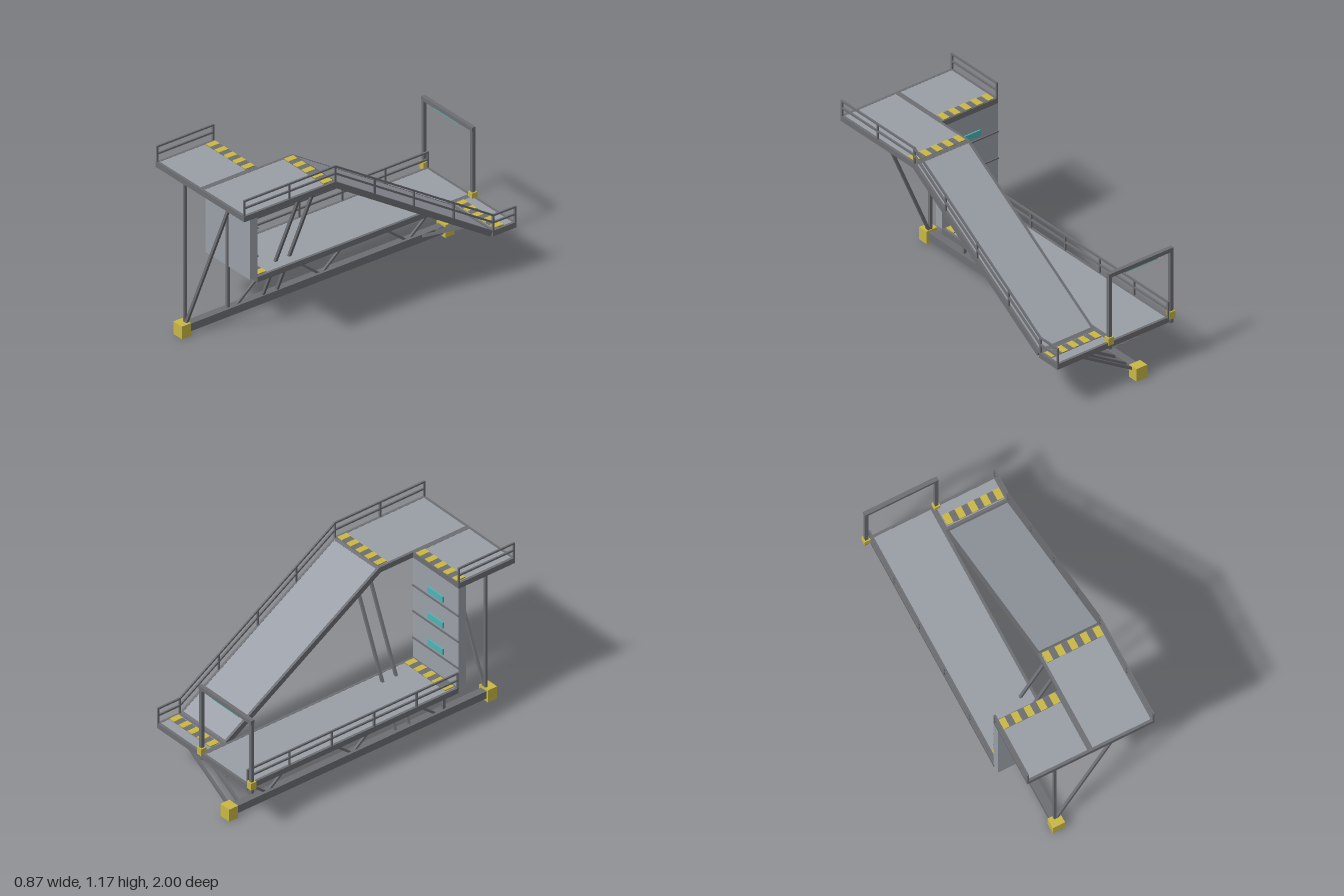
import * as THREE from 'three';

const mat = (name, color) => {
  const m = new THREE.MeshStandardMaterial({ color });
  m.name = name;
  return m;
};

export function createModel() {
  const steel = mat('frame steel', 0x6e6f74);
  const plate = mat('light plate', 0x9ba0a8);
  const yellow = mat('safety yellow', 0xcab945);
  const teal = mat('teal light', 0x4fb5b5);

  const model = new THREE.Group();
  model.name = 'rampPlatform';

  // Box given by its minimum and maximum corners
  function box(parent, name, material, x0, x1, y0, y1, z0, z1) {
    const mesh = new THREE.Mesh(new THREE.BoxGeometry(x1 - x0, y1 - y0, z1 - z0), material);
    mesh.position.set((x0 + x1) / 2, (y0 + y1) / 2, (z0 + z1) / 2);
    mesh.name = name;
    parent.add(mesh);
    return mesh;
  }

  // Square bar running from point a to point b
  function bar(parent, name, a, b, size) {
    const from = new THREE.Vector3(...a), to = new THREE.Vector3(...b);
    const mesh = new THREE.Mesh(new THREE.BoxGeometry(size, size, from.distanceTo(to)), steel);
    mesh.position.copy(from).add(to).multiplyScalar(0.5);
    mesh.lookAt(to);
    mesh.name = name;
    parent.add(mesh);
  }

  // Framed deck: top surface at y = 0, running from z = 0 to z = length
  function deck(name, x0, x1, length, joists) {
    const g = new THREE.Group();
    g.name = name;
    const w = 0.017, h = 0.036;
    box(g, 'sideBeam', steel, x0, x0 + w, -h, 0, 0, length);
    box(g, 'sideBeam', steel, x1 - w, x1, -h, 0, 0, length);
    box(g, 'endBeam', steel, x0 + w, x1 - w, -h, 0, 0, w);
    box(g, 'endBeam', steel, x0 + w, x1 - w, -h, 0, length - w, length);
    box(g, 'deckPlate', plate, x0 + w, x1 - w, -0.012, -0.001, w, length - w);
    for (let i = 0; i < joists; i++) {
      const z = (length * (i + 0.5)) / joists;
      box(g, 'joist', steel, x0 + w, x1 - w, -0.034, -0.012, z - 0.01, z + 0.01);
    }
    model.add(g);
    return g;
  }

  // Decks and ramp
  const L0 = -0.395, L1 = 0.02, R0 = 0.02, R1 = 0.431;
  const low = 0.341, high = 1.067;
  deck('lowerDeck', L0, L1, 1.57, 5).position.set(0, low, -0.99);
  deck('lowerLanding', R0, R1, 0.17, 1).position.set(0, low, -0.99);
  deck('upperLeftDeck', L0, L1, 0.42, 2).position.set(0, high, 0.58);
  deck('upperRightDeck', R0, R1, 0.67, 2).position.set(0, high, 0.33);
  const rise = high - low, run = 1.15;
  const ramp = deck('ramp', R0, R1, Math.hypot(rise, run), 4);
  ramp.position.set(0, low, -0.82);
  ramp.rotation.x = -Math.atan2(rise, run);

  // Hazard strips: a steel plate with five yellow plates
  function hazard(x, y, z) {
    const g = new THREE.Group();
    g.name = 'hazardStrip';
    box(g, 'stripBase', steel, x, x + 0.37, y - 0.001, y + 0.002, z, z + 0.067);
    for (let i = 0; i < 5; i++) {
      const sx = x + i * 0.082;
      box(g, 'yellowMark', yellow, sx, sx + 0.042, y, y + 0.006, z, z + 0.067);
    }
    model.add(g);
  }
  hazard(-0.37, low, 0.5);
  hazard(-0.37, high, 0.585);
  hazard(0.042, high, 0.337);
  hazard(0.042, low, -0.911);

  // Wall below the upper left deck, with lights and ledges on its back
  box(model, 'wallPanel', plate, L0, L1, low, 1.031, 0.58, 0.635);
  for (const y of [0.886, 0.706, 0.522]) {
    box(model, 'wallLight', teal, -0.26, -0.12, y - 0.02, y + 0.02, 0.571, 0.58);
    box(model, 'wallLedge', steel, L0, L1, y - 0.049, y - 0.039, 0.573, 0.58);
  }

  // Handrail following [z, y] corners, with posts at the listed z values
  function railing(name, x, corners, posts) {
    const g = new THREE.Group();
    g.name = name;
    for (let i = 1; i < corners.length; i++) {
      const [za, ya] = corners[i - 1], [zb, yb] = corners[i];
      for (const h of [0.053, 0.1]) bar(g, 'rail', [x, ya + h, za], [x, yb + h, zb], 0.011);
      for (const z of posts) {
        if (z > za || z < zb) continue;
        const y = ya + ((yb - ya) * (za - z)) / (za - zb);
        bar(g, 'railPost', [x, y - 0.01, z], [x, y + 0.105, z], 0.011);
      }
    }
    model.add(g);
  }
  railing('rampRailing', 0.425, [[0.994, high], [0.33, high], [-0.825, low], [-0.985, low]],
    [0.994, 0.665, 0.33, 0.043, -0.245, -0.535, -0.825, -0.985]);
  railing('upperLeftRailing', -0.389, [[0.994, high], [0.585, high]], [0.994, 0.585]);
  railing('lowerRailing', -0.389, [[0.575, low], [-0.985, low]],
    [0.575, 0.27, -0.045, -0.36, -0.675, -0.985]);

  // Ground beam with yellow end blocks
  const bx = -0.19;
  box(model, 'groundBeam', steel, bx - 0.025, bx + 0.025, 0.02, 0.07, -0.985, 0.995);
  box(model, 'endBlock', yellow, bx - 0.04, bx + 0.04, 0, 0.084, 0.933, 1);
  box(model, 'endBlock', yellow, bx - 0.04, bx + 0.04, 0, 0.084, -0.993, -0.926);

  // Upright and slanting supports
  for (const z of [0.947, 0.634]) bar(model, 'uprightSupport', [bx, 0.05, z], [bx, 1.035, z], 0.017);
  for (const z of [0.947, 0.382, 0.281])
    bar(model, 'slantingSupport', [bx, 0.05, z], [0.225, 1.02, z], 0.017);
  for (const z of [-0.775, -0.875, -0.943])
    bar(model, 'landingSupport', [bx, 0.045, z], [0.225, 0.293, z], 0.017);

  // Zigzag truss under the lower deck
  const bottoms = [0.585, -0.045, -0.68], tops = [0.27, -0.36, -0.985];
  for (let i = 0; i < 3; i++) {
    bar(model, 'trussBar', [bx, 0.05, bottoms[i]], [bx, 0.305, tops[i]], 0.014);
    if (i < 2) bar(model, 'trussBar', [bx, 0.305, tops[i]], [bx, 0.05, bottoms[i + 1]], 0.014);
  }

  // Gate at the back with yellow clamps and a light under the top bar
  const gate = new THREE.Group();
  gate.name = 'gate';
  for (const x of [-0.415, 0.039]) {
    box(gate, 'gatePost', steel, x - 0.011, x + 0.011, 0.293, 0.79, -0.989, -0.967);
    box(gate, 'gateClamp', yellow, x - 0.02, x + 0.02, 0.325, 0.374, -0.997, -0.959);
  }
  box(gate, 'gateTopBar', steel, -0.426, 0.05, 0.776, 0.802, -0.991, -0.965);
  box(gate, 'gateLight', teal, -0.31, -0.07, 0.768, 0.776, -0.988, -0.968);
  model.add(gate);

  return model;
}
